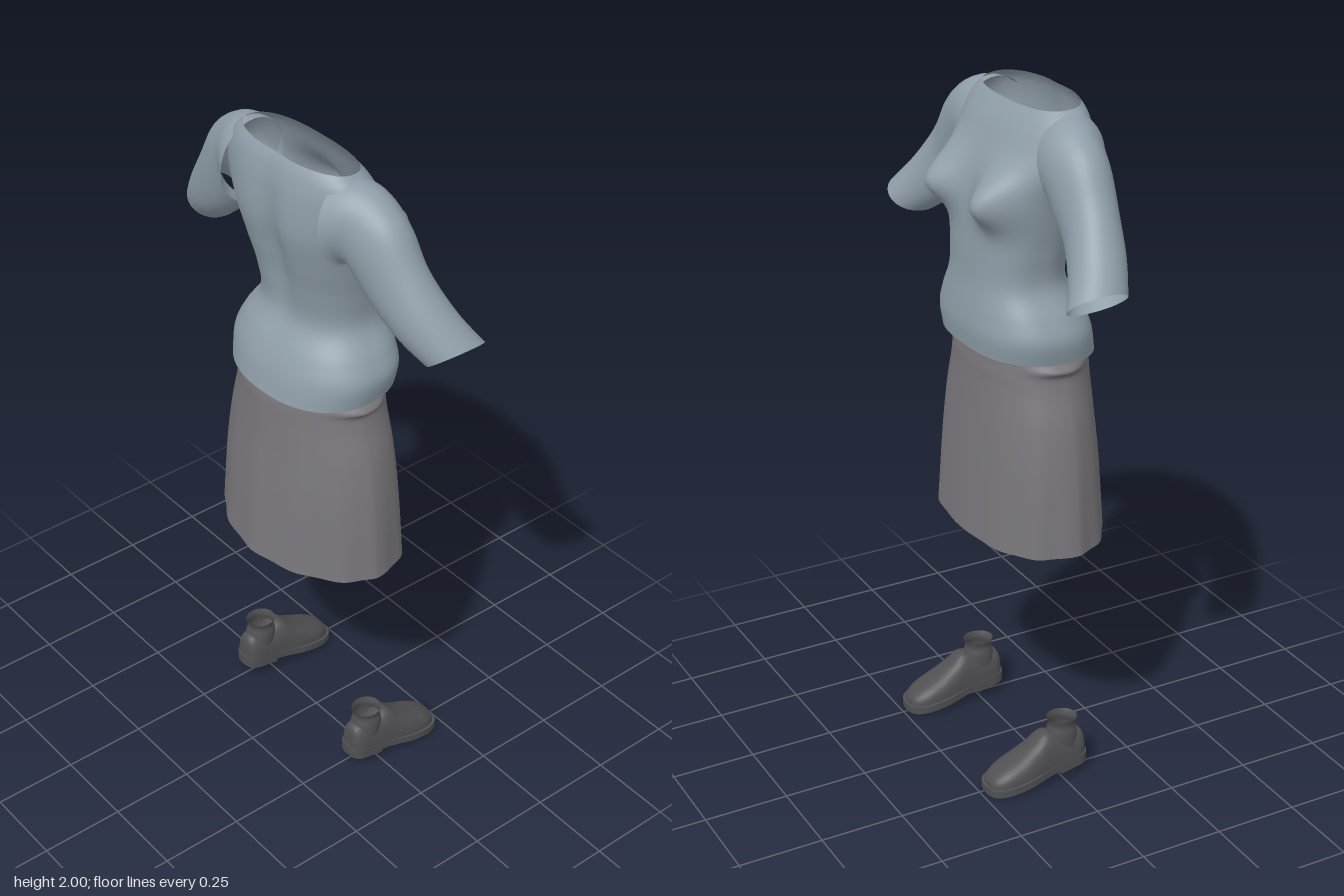
import * as THREE from 'three';
import { toCreasedNormals } from 'three/addons/utils/BufferGeometryUtils.js';

const mat = (name, color) => {
  const m = new THREE.MeshStandardMaterial({ color, side: THREE.DoubleSide });
  m.name = name;
  return m;
};

// Smoothly samples a table of section rows at n + 1 steps
function sampleRows(rows, n) {
  return Array.from({ length: n + 1 }, (_, k) => {
    const t = (k / n) * (rows.length - 1);
    const i = Math.min(Math.floor(t), rows.length - 2), f = t - i;
    const at = j => rows[Math.max(0, Math.min(rows.length - 1, j))];
    return rows[i].map((_, c) => {
      const a = at(i - 1)[c], b = at(i)[c], d = at(i + 1)[c], e = at(i + 2)[c];
      return b + 0.5 * f * (d - a + f * (2 * a - 5 * b + 4 * d - e + f * (3 * (b - d) + e - a)));
    });
  });
}

// Joins closed rings into a smooth tube; point(row, angle) gives [x, y, z]
function loft(rows, steps, sides, point, capped = false) {
  const pos = [], idx = [];
  const rings = sampleRows(rows, steps);
  for (const r of rings)
    for (let j = 0; j < sides; j++) pos.push(...point(r, (j / sides) * Math.PI * 2));
  for (let i = 0; i < steps; i++)
    for (let j = 0; j < sides; j++) {
      const a = i * sides + j, b = i * sides + (j + 1) % sides;
      idx.push(a, a + sides, b, b, a + sides, b + sides);
    }
  if (capped)
    for (let j = 1; j < sides - 1; j++) {
      const e = steps * sides;
      idx.push(0, j, j + 1, e, e + j + 1, e + j);
    }
  const g = new THREE.BufferGeometry();
  g.setAttribute('position', new THREE.Float32BufferAttribute(pos, 3));
  g.setIndex(idx);
  g.computeVertexNormals();
  return g;
}

const power = (v, e) => Math.sign(v) * Math.pow(Math.abs(v), e);
const bell = (v, w) => Math.exp(-(v * v) / (w * w));

// Rounded body section: back and front in x, half width in z; exponents set how square each half is
function bodyPoint([y, back, front, half], a, frontExp, backExp) {
  const mid = (back + front) / 2, c = Math.cos(a);
  return [
    mid + (front - back) / 2 * power(c, c > 0 ? frontExp : backExp), y,
    half * power(Math.sin(a), c > 0 ? frontExp : backExp),
  ];
}

export function createModel() {
  const model = new THREE.Group();
  const shirtMat = mat('blue grey knit', 0x8f9ea8);
  const skirtMat = mat('grey cloth', 0x79777b);
  const shoeMat = mat('dark leather', 0x505052);
  const add = (parent, name, geometry, material) => {
    const m = new THREE.Mesh(geometry, material);
    m.name = name;
    parent.add(m);
  };

  // Shirt body: y, back, front, half width
  const shirt = new THREE.Group();
  shirt.name = 'shirt';
  model.add(shirt);
  const torso = [
    [1.295, -0.2, 0.165, 0.252], [1.36, -0.185, 0.17, 0.262], [1.42, -0.16, 0.165, 0.238],
    [1.5, -0.12, 0.155, 0.192], [1.6, -0.13, 0.15, 0.2], [1.7, -0.155, 0.142, 0.222],
    [1.8, -0.175, 0.122, 0.243], [1.9, -0.17, 0.082, 0.252], [1.955, -0.158, 0.053, 0.242],
    [1.988, -0.14, 0.03, 0.208],
  ];
  add(shirt, 'shirtBody', loft(torso, 60, 80, (r, a) => {
    let [x, y, z] = bodyPoint(r, a, 0.78, 0.9);
    const c = Math.cos(a), s = Math.sin(a);
    // bust, spine hollow, shoulder swell, and slanted hem and neckline
    if (c > 0) x += 0.082 * Math.min(1, 1.25 * c) * bell(Math.abs(z) - 0.142, 0.075) * bell(y - 1.738, y > 1.738 ? 0.085 : 0.062);
    else x -= 0.028 * c * bell(z, 0.05) * bell(y - 1.72, 0.2);
    z += 0.035 * s ** 5 * bell(y - 1.87, 0.07);
    y += 0.06 * x * bell(r[0] - 1.29, 0.06) - 0.085 * x * bell(r[0] - 1.99, 0.04);
    return [x, y, z];
  }), shirtMat);

  // Sleeves: upper edge z, y; lower edge z, y; centre x, half depth
  const sleeve = [
    [0.195, 1.983, 0.215, 1.73, -0.055, 0.106], [0.25, 1.978, 0.218, 1.738, -0.045, 0.1],
    [0.31, 1.952, 0.232, 1.735, -0.035, 0.09], [0.375, 1.9, 0.265, 1.692, -0.03, 0.083],
    [0.435, 1.805, 0.325, 1.635, -0.022, 0.077], [0.51, 1.7, 0.4, 1.575, 0.004, 0.082],
    [0.577, 1.615, 0.466, 1.527, 0.042, 0.086],
  ];
  for (const s of [1, -1])
    add(shirt, s > 0 ? 'rightSleeve' : 'leftSleeve',
      loft(sleeve, 36, 36, ([uz, uy, lz, ly, x, d], a) => {
        const t = 0.5 + 0.5 * Math.sin(a);
        return [x + d * Math.cos(a), ly + (uy - ly) * t, s * (lz + (uz - lz) * t)];
      }), shirtMat);

  // Skirt with side gathers at the waist and soft folds that deepen toward the hem
  const skirt = [
    [1.31, -0.185, 0.132, 0.236], [1.272, -0.195, 0.135, 0.242], [1.245, -0.198, 0.138, 0.246],
    [1.2, -0.2, 0.14, 0.256], [1.1, -0.207, 0.148, 0.284], [0.95, -0.222, 0.16, 0.306],
    [0.735, -0.238, 0.174, 0.322],
  ];
  add(model, 'skirt', loft(skirt, 40, 96, (r, a) => {
    const [x, y, z] = bodyPoint(r, a, 0.82, 1.1);
    const fall = Math.max(0, (1.25 - y) / 0.5), s = Math.sin(a);
    const k = 1 + 0.012 * fall * (Math.cos(12 * a) - 1);
    return [x * k, y, z * k + 0.02 * s ** 9 * bell(y - 1.272, 0.014)];
  }), skirtMat);

  // Shoes
  const outline = new THREE.CatmullRomCurve3([
    [-0.09, 0], [-0.078, 0.038], [-0.02, 0.048], [0.04, 0.052], [0.12, 0.068], [0.19, 0.064], [0.226, 0.042],
    [0.236, 0], [0.226, -0.042], [0.19, -0.064], [0.12, -0.068], [0.04, -0.052], [-0.02, -0.048], [-0.078, -0.038],
  ].map(([x, z]) => new THREE.Vector3(x, z, 0)), true);
  const slab = (pts, depth, drop) => {
    const g = new THREE.ExtrudeGeometry(new THREE.Shape(pts), { depth, bevelEnabled: false });
    g.rotateX(Math.PI / 2);
    const p = g.attributes.position;
    for (let i = 0; i < p.count; i++) p.setY(i, p.getY(i) + drop(p.getX(i)));
    return toCreasedNormals(g, 0.7);
  };
  const solePts = outline.getPoints(56).slice(0, -1).map(p => new THREE.Vector2(p.x, p.y));
  const soleTop = x => 0.067 - 0.137 * (x + 0.09);

  // Upper sections: x, base y, top y, half width
  const upper = [
    [-0.083, 0.06, 0.085, 0.015], [-0.078, 0.06, 0.125, 0.032], [-0.055, 0.055, 0.142, 0.044],
    [0, 0.05, 0.14, 0.048], [0.045, 0.045, 0.154, 0.051], [0.085, 0.038, 0.125, 0.057],
    [0.13, 0.032, 0.098, 0.062], [0.18, 0.026, 0.074, 0.058], [0.215, 0.02, 0.052, 0.042],
    [0.228, 0.018, 0.034, 0.022],
  ];
  const ankle = [
    [0.1, -0.07, 0.03, 0.044], [0.14, -0.062, 0.03, 0.044], [0.165, -0.055, 0.024, 0.038], [0.185, -0.063, 0.03, 0.042],
  ];
  for (const s of [1, -1]) {
    const shoe = new THREE.Group();
    shoe.name = s > 0 ? 'rightShoe' : 'leftShoe';
    shoe.position.z = 0.26 * s;
    add(shoe, 'upper', loft(upper, 36, 32, ([x, lo, hi, half], a) =>
      [x, lo + (hi - lo) * Math.max(0, power(Math.sin(a), 0.75)), half * power(Math.cos(a), 0.75)], true), shoeMat);
    add(shoe, 'ankleCuff', loft(ankle, 10, 24, (r, a) => bodyPoint(r, a, 1, 1)), shoeMat);
    add(shoe, 'sole', slab(solePts, 0.022, soleTop), shoeMat);
    add(shoe, 'heel', slab(solePts.filter(p => p.x < 0.02), 0.03, x => soleTop(x) - 0.002), shoeMat);
    model.add(shoe);
  }
  return model;
}
